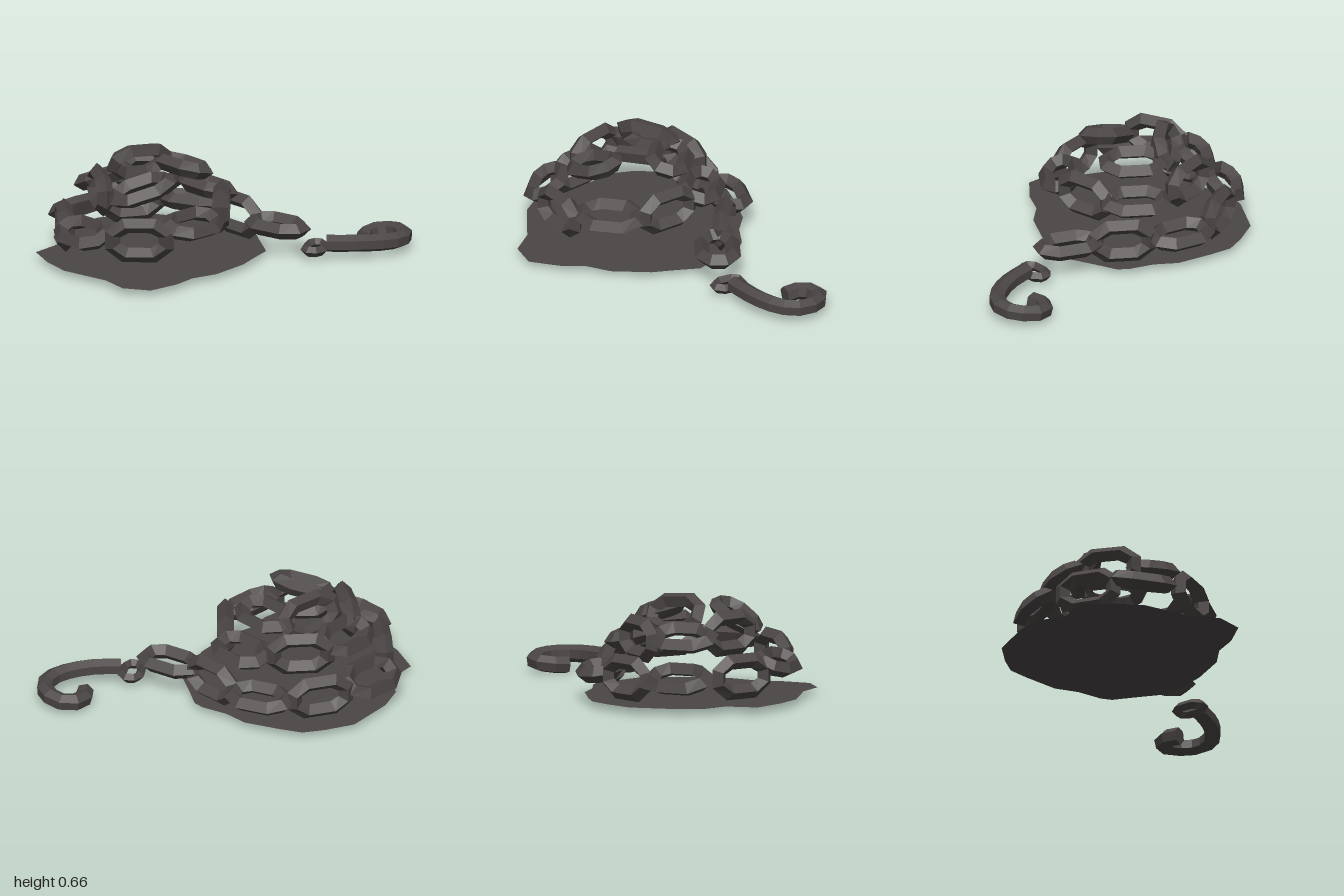
import * as THREE from 'three';

export function createModel() {
  const model = new THREE.Group();
  const iron = new THREE.MeshStandardMaterial({ color: 0x4b4645, side: THREE.DoubleSide });
  iron.name = 'dark iron';

  const faceted = (geometry) => {
    const g = geometry.toNonIndexed();
    g.computeVertexNormals();
    return g;
  };
  const add = (name, geometry, parent = model) => {
    const mesh = new THREE.Mesh(geometry, iron);
    mesh.name = name;
    parent.add(mesh);
    return mesh;
  };

  // Chain link: an eight-sided ring of diamond section, its centre line lengthened along x
  const radius = 0.098;
  const ring = new THREE.TorusGeometry(radius, 0.049, 4, 8);
  ring.rotateZ(Math.PI / 8);
  const p = ring.attributes.position;
  for (let i = 0; i < p.count; i++) {
    const x = p.getX(i);
    const centreX = radius * x / Math.hypot(x, p.getY(i));
    p.setX(i, x + 0.42 * centreX + 0.03 * Math.sign(x));
  }
  const linkGeometry = faceted(ring);

  const chain = new THREE.Group();
  chain.name = 'coiledChain';
  model.add(chain);

  // Place a link by its centre, long direction and short (side) direction
  const addLink = (name, centre, along, side, scale = [1, 1, 1]) => {
    const x = new THREE.Vector3(...along).normalize();
    const z = x.clone().cross(new THREE.Vector3(...side)).normalize();
    const y = z.clone().cross(x);
    const link = add(name, linkGeometry, chain);
    link.quaternion.setFromRotationMatrix(new THREE.Matrix4().makeBasis(x, y, z));
    link.position.set(...centre);
    link.scale.set(...scale);
  };

  const up = [0, 1, 0];
  // Loose end and bottom coil
  addLink('endLink', [0.385, 0.07, 0.515], [0.7, 0, -0.55], [0.5, 0, 0.7], [0.54, 0.58, 0.65]);
  addLink('looseLink', [0.27, 0.18, 0.305], [0.1, 0, 0.36], [1, 0, -0.25]);
  const bottom = [
    [[0.235, 0.18, -0.02], [0.02, 0, 0.36], up],
    [[0.18, 0.185, -0.37], [0.17, 0, 0.36], [1, -0.15, -0.4]],
    [[-0.09, 0.19, -0.61], [0.35, 0, 0.17], up],
    [[-0.44, 0.21, -0.67], [1, 0, 0.03], [0, 0.5, 0.85]],
    [[-0.75, 0.21, -0.44], [0.22, 0, -0.3], up],
    [[-0.86, 0.26, -0.14], [0.03, 0, 1], [0.88, 0.35, 0]],
    [[-0.71, 0.265, 0.2], [0.34, 0, 0.3], up],
  ];
  // Middle coil
  const middle = [
    [[-0.38, 0.325, 0.3], [1, 0, -0.02], [0, 0.3, -0.9]],
    [[-0.06, 0.34, 0.18], [0.27, 0, -0.3], up],
    [[0.08, 0.36, -0.11], [0.05, 0, 1], [0.95, -0.2, 0]],
    [[-0.1, 0.4, -0.43], [0.34, 0, 0.27], up],
    [[-0.4, 0.43, -0.49], [1, 0, -0.05], [0, 0.4, 0.85]],
    [[-0.61, 0.44, -0.28], [0.2, 0, -0.36], up],
  ];
  // Top coil
  const top = [
    [[-0.54, 0.5, 0.02], [0.28, 0.12, 0.22], [0.6, 0.2, -0.7]],
    [[-0.28, 0.54, -0.32], [0.36, -0.03, 0.07], [0, 0.85, 0.5]],
    [[-0.11, 0.53, -0.11], [0.04, 0, 1], [0.92, -0.22, 0]],
  ];
  for (const [name, coil] of Object.entries({ bottom, middle, top })) {
    coil.forEach(([c, a, s], i) => addLink(`${name}Link${i + 1}`, c, a, s));
  }

  // Hook: six-sided bent bar with closed ends
  const path = new THREE.CatmullRomCurve3([
    [0.43, 0.1, 0.565], [0.555, 0.1, 0.67], [0.685, 0.095, 0.74], [0.795, 0.09, 0.762],
    [0.9, 0.085, 0.725], [0.953, 0.08, 0.61], [0.93, 0.07, 0.525], [0.87, 0.065, 0.485],
    [0.8, 0.06, 0.49], [0.735, 0.055, 0.55],
  ].map((v) => new THREE.Vector3(...v)));
  const steps = 12, sides = 6;
  const hook = new THREE.TubeGeometry(path, steps, 0.053, sides);
  const index = [...hook.index.array];
  for (const start of [0, steps * (sides + 1)]) {
    for (let i = 1; i < sides - 1; i++) index.push(start, start + i, start + i + 1);
  }
  hook.setIndex(index);
  add('hook', faceted(hook));

  // Flat ragged sheet under the pile
  const outline = [
    [-0.89, -0.54], [-0.7, -0.57], [-0.62, -0.7], [-0.47, -0.77], [-0.18, -0.81], [-0.01, -0.74],
    [0.11, -0.67], [0.18, -0.55], [0.28, -0.35], [0.29, -0.2], [0.34, -0.05], [0.34, 0.02],
    [0.27, 0.14], [0.17, 0.32], [0.04, 0.37], [-0.1, 0.43], [-0.34, 0.47], [-0.5, 0.44],
    [-0.65, 0.47], [-0.84, 0.46], [-0.94, 0.32], [-0.92, 0.14], [-0.99, -0.16], [-0.96, -0.35],
  ].map(([x, z]) => new THREE.Vector2(x, -z));
  const sheet = new THREE.ShapeGeometry(new THREE.Shape(outline));
  sheet.rotateX(-Math.PI / 2);
  add('groundSheet', sheet).position.y = 0.045;

  return model;
}
